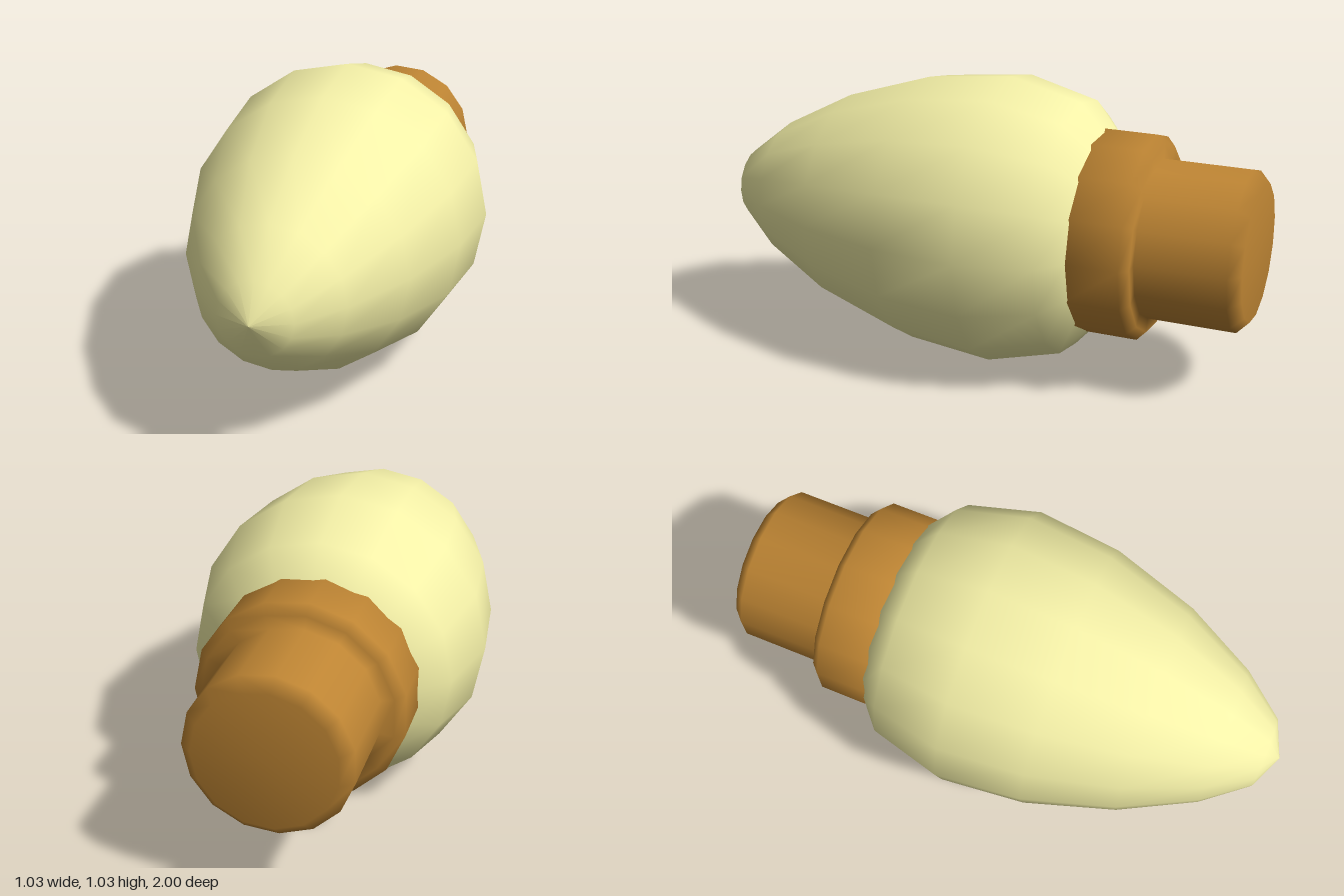
import * as THREE from 'three';

// Turned part lying along z: profile points are [radius, z], listed back to front
function turned(name, profile, sides, phiStart, color) {
  const points = profile.map(([r, z]) => new THREE.Vector2(r, z));
  const geometry = new THREE.LatheGeometry(points, sides, phiStart);
  geometry.rotateX(Math.PI / 2);
  const mesh = new THREE.Mesh(geometry, new THREE.MeshStandardMaterial({ color }));
  mesh.name = name;
  mesh.position.y = 0.52;
  return mesh;
}

export function createModel() {
  const model = new THREE.Group();
  model.name = 'candleBulb';

  // Tapered glass, with its neck tucked into the collar
  model.add(turned('glass', [
    [0, -0.54], [0.25, -0.53], [0.36, -0.44], [0.45, -0.36], [0.517, -0.1],
    [0.485, 0.21], [0.385, 0.53], [0.25, 0.79], [0.127, 0.945], [0, 1],
  ], 16, 0, 0xf5f1a8));

  // Chamfered contact stem stepping out to the collar
  model.add(turned('base', [
    [0, -1], [0.238, -1], [0.28, -0.96], [0.28, -0.65], [0.328, -0.65],
    [0.36, -0.62], [0.36, -0.43], [0.3, -0.42], [0, -0.42],
  ], 15, Math.PI / 2, 0xbd8433));

  return model;
}
